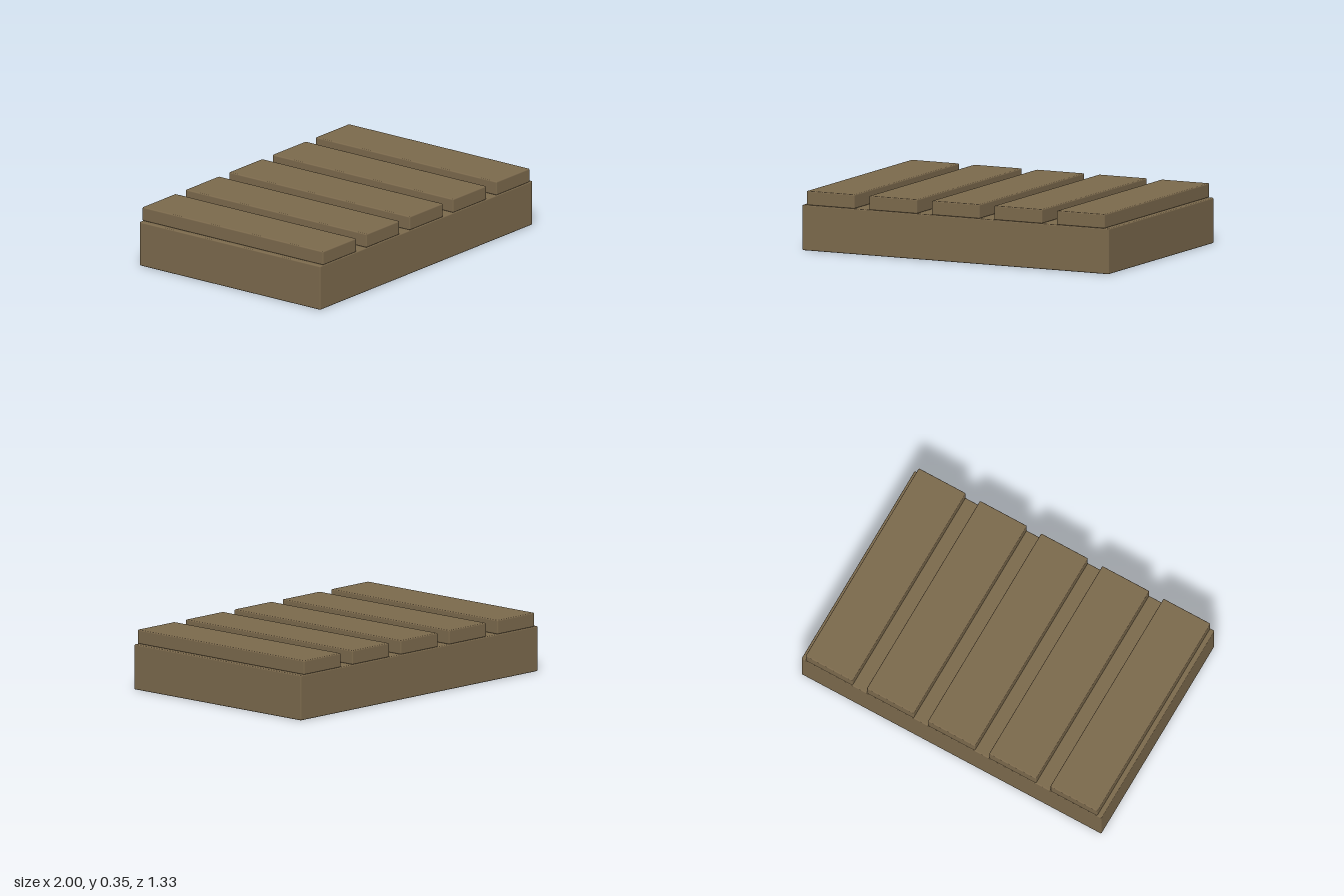
import * as THREE from 'three';
import { RoundedBoxGeometry } from 'three/addons/geometries/RoundedBoxGeometry.js';

const DEPTH = 1.333;
const BASE_HEIGHT = 0.267;
const SLAT_WIDTH = 0.313;
const SLAT_HEIGHT = 0.083;
const SLAT_SPACING = 0.408;
const EDGE = 0.007;

export function createModel() {
  const model = new THREE.Group();
  model.name = 'slattedPlatform';
  const wood = new THREE.MeshStandardMaterial({ color: 0x7b694c });

  // Softly edged block standing on the given height
  const addBlock = (name, width, height, x, bottom) => {
    const block = new THREE.Mesh(new RoundedBoxGeometry(width, height, DEPTH, 2, EDGE), wood);
    block.name = name;
    block.position.set(x, bottom + height / 2, 0);
    model.add(block);
  };

  // Solid base
  addBlock('base', 2, BASE_HEIGHT, 0, 0);

  // Five evenly spaced slats running front to back
  for (let i = -2; i <= 2; i++) {
    addBlock(`slat${i + 3}`, SLAT_WIDTH, SLAT_HEIGHT, i * SLAT_SPACING, BASE_HEIGHT);
  }

  return model;
}
